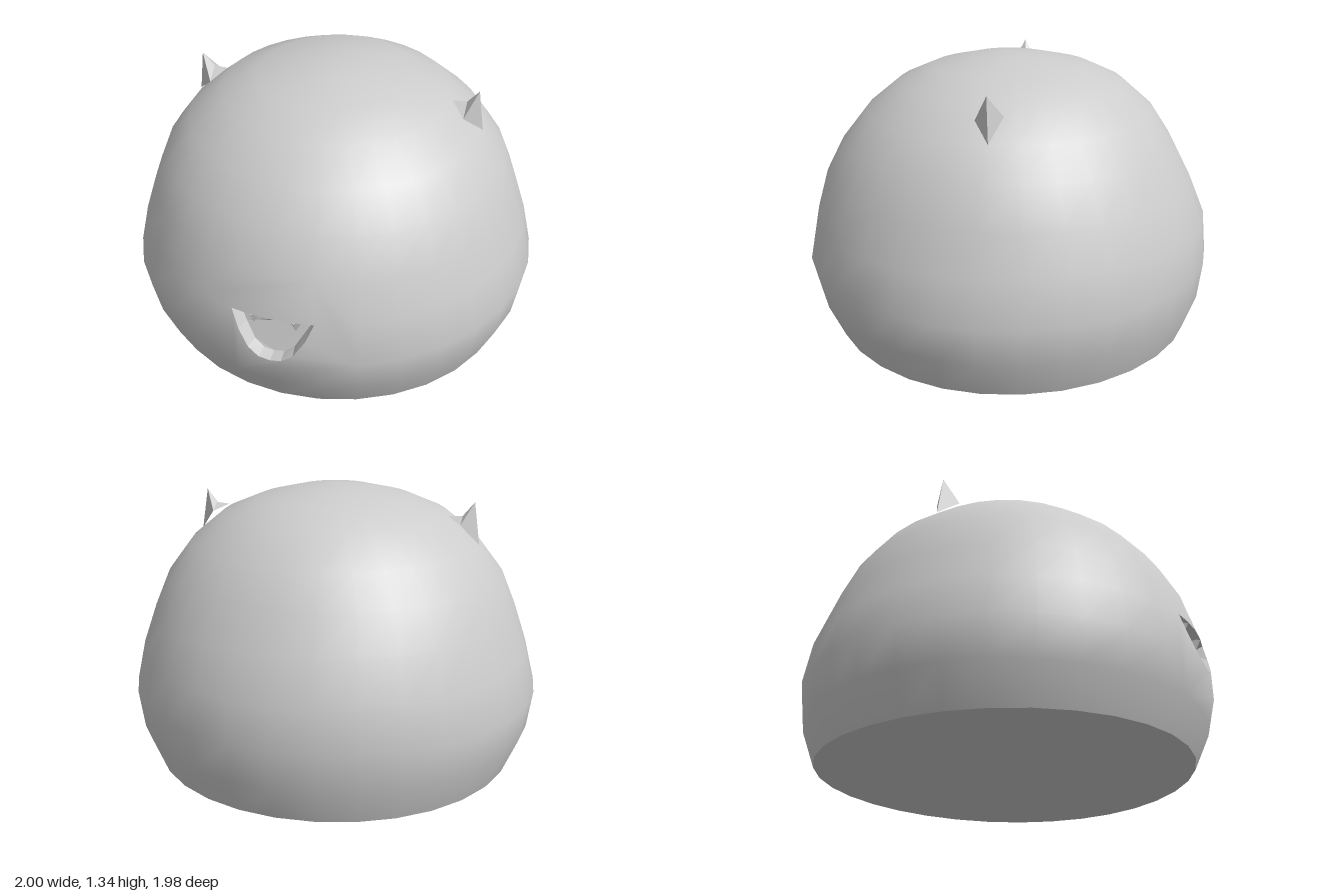
import * as THREE from 'three';

const SEG = 32;
// rows of the dome: height, half width, front depth, back depth
const ROWS = [
  [0, 0.9, 0.875, 0.915], [0.18, 0.975, 0.95, 0.97], [0.36, 1, 0.995, 0.99],
  [0.56, 0.95, 0.955, 0.97], [0.75, 0.885, 0.9, 0.89], [0.92, 0.815, 0.81, 0.8],
  [1.07, 0.7, 0.69, 0.7], [1.2, 0.54, 0.53, 0.55], [1.27, 0.37, 0.37, 0.4],
  [1.315, 0.18, 0.18, 0.2], [1.335, 0, 0, 0],
];
const TOP = ROWS.length - 1;

// point on the dome at angle a (0 = front) and fractional row t
function surface(a, t) {
  const j = Math.min(Math.floor(t), TOP - 1), f = t - j;
  const [y, rx, rf, rb] = ROWS[j].map((v, k) => v + (ROWS[j + 1][k] - v) * f);
  const c = Math.cos(a);
  const lift = 0.02 * c * c * Math.max(0, 1 - t);
  return new THREE.Vector3(rx * Math.sin(a), y + lift, c * (c > 0 ? rf : rb));
}

function surfaceNormal(a, t) {
  if (t > TOP - 0.01) return new THREE.Vector3(0, 1, 0);
  const da = surface(a + 0.1, t).sub(surface(a - 0.1, t));
  const dt = surface(a, Math.min(t + 0.5, TOP)).sub(surface(a, Math.max(t - 0.5, 0)));
  return da.cross(dt).normalize();
}

// smooth geometry from (angle, row) pairs
function skin(params, index) {
  const g = new THREE.BufferGeometry();
  const pos = params.flatMap(([a, t]) => surface(a, t).toArray());
  const nor = params.flatMap(([a, t]) => surfaceNormal(a, t).toArray());
  g.setAttribute('position', new THREE.Float32BufferAttribute(pos, 3));
  g.setAttribute('normal', new THREE.Float32BufferAttribute(nor, 3));
  g.setIndex(index);
  return g;
}

// faceted geometry from a list of triangles, optionally mirrored in x
function facets(tris, side = 1) {
  const pts = tris.flatMap(([a, b, c]) => (side > 0 ? [a, b, c] : [a, c, b]));
  const g = new THREE.BufferGeometry();
  g.setAttribute('position', new THREE.Float32BufferAttribute(
    pts.flatMap(([x, y, z]) => [x * side, y, z]), 3));
  g.computeVertexNormals();
  return g;
}

export function createModel() {
  const model = new THREE.Group();
  const grey = new THREE.MeshStandardMaterial({ color: 0xcccccc });
  grey.name = 'pale grey';
  const add = (name, geometry) => {
    const mesh = new THREE.Mesh(geometry, grey);
    mesh.name = name;
    model.add(mesh);
    return mesh;
  };
  const step = (Math.PI * 2) / SEG;

  // dome, leaving out a panel at the front for the mouth
  const params = [], index = [];
  for (let j = 0; j <= TOP; j++)
    for (let i = 0; i <= SEG; i++) params.push([(i - SEG / 2) * step, j]);
  for (let j = 0; j < TOP; j++)
    for (let i = 0; i < SEG; i++) {
      const k = i - SEG / 2;
      if (k >= -2 && k < 2 && j >= 1 && j < 4) continue;
      const p = j * (SEG + 1) + i, q = p + SEG + 1;
      index.push(p, p + 1, q + 1);
      if (j < TOP - 1) index.push(p, q + 1, q);
    }
  add('body', skin(params, index));

  // mouth outline, counter-clockwise as (angle, row)
  const half = [[0.05, 0.362], [0.1, 0.395], [0.15, 0.47], [0.19, 0.56], [0.1, 0.56]];
  const outline = [
    [0, 0.352], ...half, [0, 0.56],
    ...half.slice().reverse().map(([x, y]) => [-x, y]),
  ].map(([x, y]) => new THREE.Vector2(Math.asin(x / 0.96), 2 + (y - 0.36) / 0.2));

  // front panel with the mouth cut out
  const edge = [];
  for (let k = -2; k < 2; k++) edge.push([k, 1]);
  for (let j = 1; j < 4; j++) edge.push([2, j]);
  for (let k = 2; k > -2; k--) edge.push([k, 4]);
  for (let j = 4; j > 1; j--) edge.push([-2, j]);
  const panel = new THREE.Shape(edge.map(([k, j]) => new THREE.Vector2(k * step, j)));
  panel.holes.push(new THREE.Path(outline));
  const flat = new THREE.ShapeGeometry(panel);
  const fp = flat.attributes.position;
  const panelParams = Array.from({ length: fp.count }, (_, i) => [fp.getX(i), fp.getY(i)]);
  add('mouthPanel', skin(panelParams, Array.from(flat.index.array)));

  // mouth recess: sloping rim and back wall
  const rim = outline.map((p) => surface(p.x, p.y).toArray());
  const back = rim.map(([x, y, z]) => [x * 0.9, y > 0.55 ? y - 0.03 : y + 0.003, z - 0.06]);
  const walls = [];
  rim.forEach((f0, i) => {
    const n = (i + 1) % rim.length;
    walls.push([f0, rim[n], back[n]], [f0, back[n], back[i]]);
  });
  add('mouthRim', facets(walls));
  const faces = THREE.ShapeUtils.triangulateShape(
    back.map(([x, y]) => new THREE.Vector2(x, y)), []);
  add('mouthBack', facets(faces.map((f) => f.map((i) => back[i]))));

  // ears and fangs, mirrored
  const tip = [0.675, 1.27, 0], outer = [0.705, 1.07, -0.01], mid = [0.622, 1.205, -0.01];
  const inner = [0.555, 1.2, -0.01], front = [0.62, 1.15, 0.06], rear = [0.62, 1.17, -0.065];
  const ear = [
    [tip, front, outer], [tip, mid, front], [mid, inner, front],
    [tip, outer, rear], [tip, rear, mid], [mid, rear, inner],
  ];
  for (const [side, label] of [[1, 'left'], [-1, 'right']]) {
    add(label + 'Ear', facets(ear, side));
    const fang = new THREE.ConeGeometry(0.035, 0.07, 4).toNonIndexed();
    fang.rotateX(Math.PI);
    fang.computeVertexNormals();
    add(label + 'Fang', fang).position.set(side * 0.097, 0.517, 0.915);
  }

  // flat underside
  const base = [];
  for (let i = 0; i < SEG; i++)
    base.push([[0, 0.01, 0], surface((i + 1) * step, 0).toArray(), surface(i * step, 0).toArray()]);
  add('underside', facets(base));
  return model;
}
